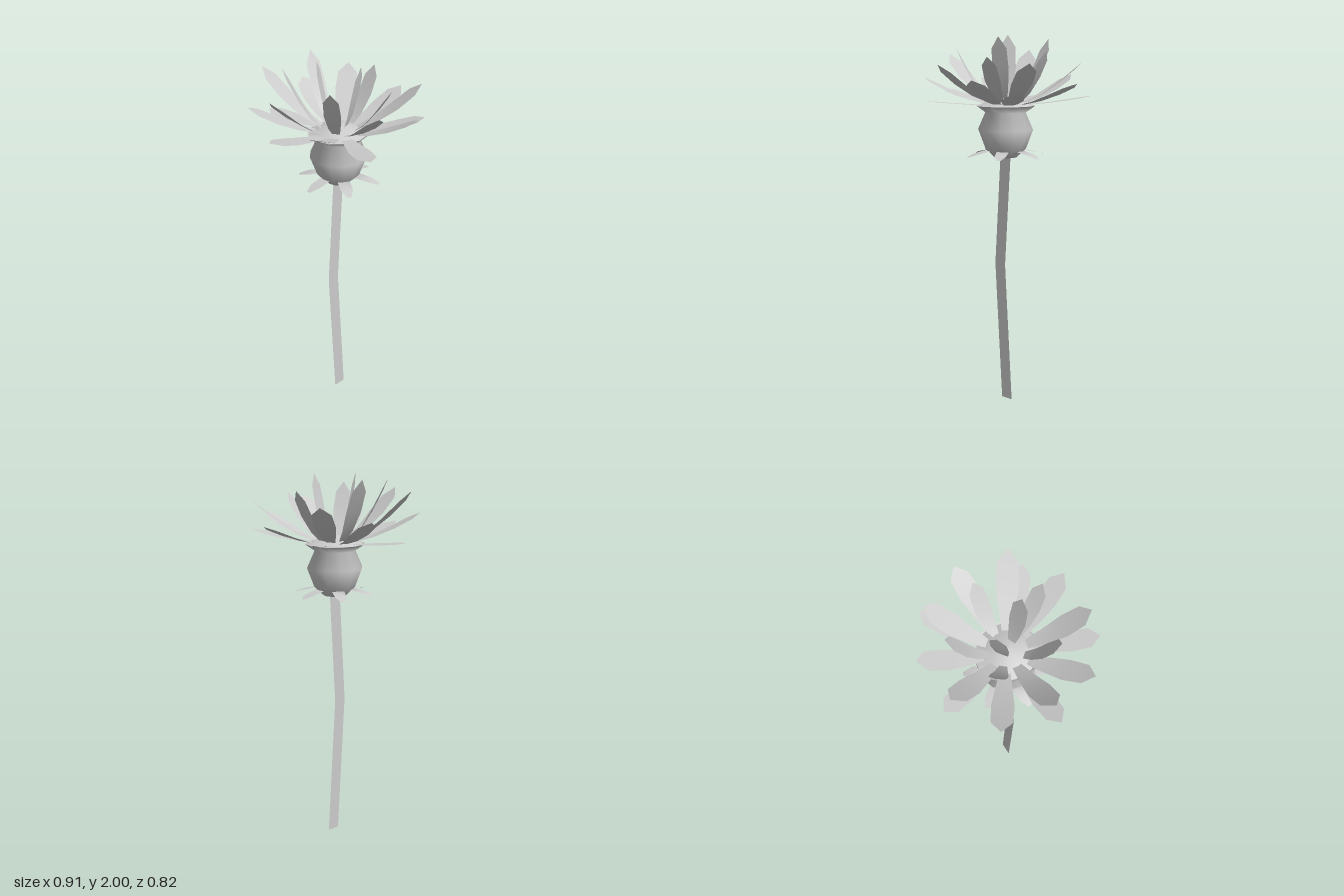
import * as THREE from 'three';

const material = new THREE.MeshStandardMaterial({ color: 0xcccccc, side: THREE.DoubleSide });

// Thin blade swept along rows of { p: centre point, w: half width }; side is the width direction
function blade(name, rows, side) {
  const positions = [], index = [];
  rows.forEach(({ p, w }, i) => {
    for (const s of [1, -1]) positions.push(p.x + side.x * w * s, p.y + side.y * w * s, p.z + side.z * w * s);
    if (i > 0) {
      const a = (i - 1) * 2;
      index.push(a, a + 1, a + 2);
      if (w > 0) index.push(a + 1, a + 3, a + 2);
    }
  });
  const geometry = new THREE.BufferGeometry();
  geometry.setAttribute('position', new THREE.Float32BufferAttribute(positions, 3));
  geometry.setIndex(index);
  geometry.computeVertexNormals();
  const mesh = new THREE.Mesh(geometry, material);
  mesh.name = name;
  return mesh;
}

// Petal from the heart of the flower to its tip, curving upward, with an angular end
function petal(name, [x, y, z], baseRadius, baseY, halfWidth) {
  const dir = new THREE.Vector3(x, 0, z);
  const reach = dir.length();
  dir.normalize();
  const side = new THREE.Vector3(dir.z, 0, -dir.x);
  const shape = [[0, 0.4], [0.3, 0.72], [0.6, 1], [0.86, 0.9], [1, 0]];
  const rows = shape.map(([t, w]) => {
    const p = dir.clone().multiplyScalar(baseRadius + (reach - baseRadius) * t);
    p.y = baseY + (y - baseY) * Math.pow(t, 1.35);
    return { p, w: w * halfWidth };
  });
  return blade(name, rows, side);
}

function lathe(name, profile) {
  const points = profile.map(([r, y]) => new THREE.Vector2(r, y));
  const mesh = new THREE.Mesh(new THREE.LatheGeometry(points, 12), material);
  mesh.name = name;
  mesh.position.x = -0.005;
  return mesh;
}

export function createModel() {
  const flower = new THREE.Group();
  flower.name = 'flower';

  // Flat, slightly bent stem
  const stemRows = [[0.005, 0], [-0.043, 0.77], [-0.005, 1.37]]
    .map(([x, y]) => ({ p: new THREE.Vector3(x, y, 0), w: 0.035 }));
  flower.add(blade('stem', stemRows, new THREE.Vector3(-1, 0, 0)));

  // Bulb with a flared rim, and the domed heart on top
  flower.add(lathe('bulb', [[0, 1.357], [0.06, 1.363], [0.11, 1.41], [0.148, 1.51], [0.108, 1.6], [0.158, 1.635]]));
  flower.add(lathe('heart', [[0.15, 1.635], [0.11, 1.65], [0.06, 1.672], [0, 1.68]]));

  // Six drooping leaves under the bulb
  const leaves = new THREE.Group();
  leaves.name = 'sepals';
  for (let i = 0; i < 6; i++) {
    const a = i * Math.PI / 3;
    const rows = [[0.04, 1.365, 0.02], [0.1, 1.4, 0.032], [0.17, 1.385, 0.03], [0.215, 1.37, 0.01]]
      .map(([r, y, w]) => ({ p: new THREE.Vector3(r * Math.cos(a), y, r * Math.sin(a)), w }));
    leaves.add(blade('sepal', rows, new THREE.Vector3(Math.sin(a), 0, -Math.cos(a))));
  }
  flower.add(leaves);

  // Rings of petals, listed by tip position
  const rings = [
    { name: 'outerPetal', radius: 0.09, y: 1.64, width: 0.054, tips: [
      [0.455, 1.76, 0], [0.31, 1.71, 0.295], [0.13, 1.78, 0.41], [-0.19, 1.67, 0.405], [-0.375, 1.78, 0.235],
      [-0.455, 1.715, 0], [-0.365, 1.79, -0.265], [-0.11, 1.67, -0.41], [0.125, 1.79, -0.405], [0.375, 1.69, -0.25]] },
    { name: 'middlePetal', radius: 0.09, y: 1.65, width: 0.055, tips: [
      [0.345, 1.86, 0.235], [-0.12, 1.85, 0.385], [-0.425, 1.9, -0.02], [-0.16, 1.92, -0.39], [0.31, 1.86, -0.245]] },
    { name: 'innerPetal', radius: 0.08, y: 1.65, width: 0.042, tips: [
      [0.26, 1.92, -0.01], [0.095, 1.89, 0.26], [-0.21, 1.93, 0.155], [-0.205, 1.97, -0.185], [0.065, 1.98, -0.275]] },
    { name: 'centrePetal', radius: 0.035, y: 1.66, width: 0.045, tips: [
      [-0.065, 2, -0.09], [0.04, 1.99, 0.11]] },
  ];
  for (const { name, radius, y, width, tips } of rings) {
    const ring = new THREE.Group();
    ring.name = name + 's';
    for (const tip of tips) ring.add(petal(name, tip, radius, y, width));
    flower.add(ring);
  }
  return flower;
}
